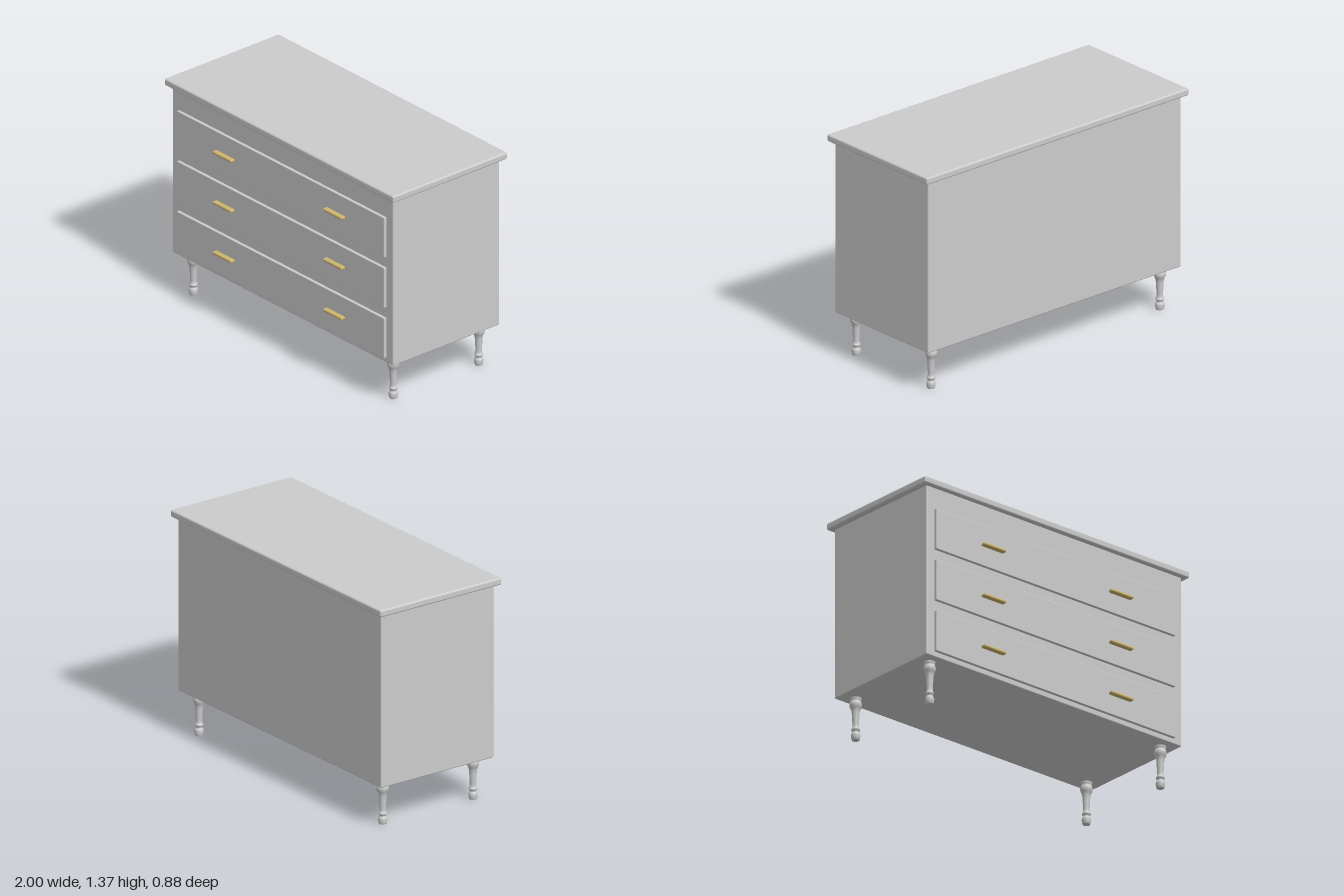
import * as THREE from 'three';
import { RoundedBoxGeometry } from 'three/addons/geometries/RoundedBoxGeometry.js';

const paint = new THREE.MeshStandardMaterial({ color: 0xcccccc });
const brass = new THREE.MeshStandardMaterial({ color: 0xcdb56f });

// Rounded box given by its extents on each axis
function slab(name, [x0, x1], [y0, y1], [z0, z1], radius, material = paint) {
  const geometry = new RoundedBoxGeometry(x1 - x0, y1 - y0, z1 - z0, 4, radius);
  const mesh = new THREE.Mesh(geometry, material);
  mesh.name = name;
  mesh.position.set((x0 + x1) / 2, (y0 + y1) / 2, (z0 + z1) / 2);
  return mesh;
}

// Turned leg: smooth curve through radius/height pairs, closed at the foot
function legGeometry() {
  const curve = new THREE.SplineCurve([
    [0.022, 0], [0.026, 0.015], [0.026, 0.036], [0.019, 0.05], [0.026, 0.065],
    [0.019, 0.082], [0.02, 0.12], [0.024, 0.18], [0.034, 0.208], [0.036, 0.225],
    [0.031, 0.243], [0.034, 0.255], [0.034, 0.268],
  ].map(([r, y]) => new THREE.Vector2(r, y)));
  const profile = [new THREE.Vector2(0, 0), new THREE.Vector2(0.022, 0), ...curve.getPoints(48)];
  return new THREE.LatheGeometry(profile, 32);
}

export function createModel() {
  const model = new THREE.Group();
  model.name = 'chestOfDrawers';

  // Carcass and overhanging top
  model.add(slab('body', [-0.965, 0.965], [0.262, 1.335], [-0.41, 0.398], 0.008));
  model.add(slab('top', [-1, 1], [1.327, 1.371], [-0.44, 0.428], 0.011));

  // Three drawers, each with two bar pulls
  for (let i = 0; i < 3; i++) {
    const y = 0.295 + i * 0.322;
    const drawer = new THREE.Group();
    drawer.name = `drawer${i + 1}`;
    drawer.add(slab('drawerFront', [-0.905, 0.905], [y, y + 0.256], [0.385, 0.416], 0.004));
    for (const s of [-1, 1]) {
      const x = s * 0.482;
      drawer.add(slab(s > 0 ? 'leftPull' : 'rightPull', [x - 0.082, x + 0.082],
        [y + 0.12, y + 0.138], [0.41, 0.445], 0.007, brass));
    }
    model.add(drawer);
  }

  // Four turned legs
  const legShape = legGeometry();
  for (const x of [-0.873, 0.873]) {
    for (const z of [-0.33, 0.318]) {
      const leg = new THREE.Mesh(legShape, paint);
      leg.name = (z > 0 ? 'front' : 'back') + (x > 0 ? 'Left' : 'Right') + 'Leg';
      leg.position.set(x, 0, z);
      model.add(leg);
    }
  }
  return model;
}
